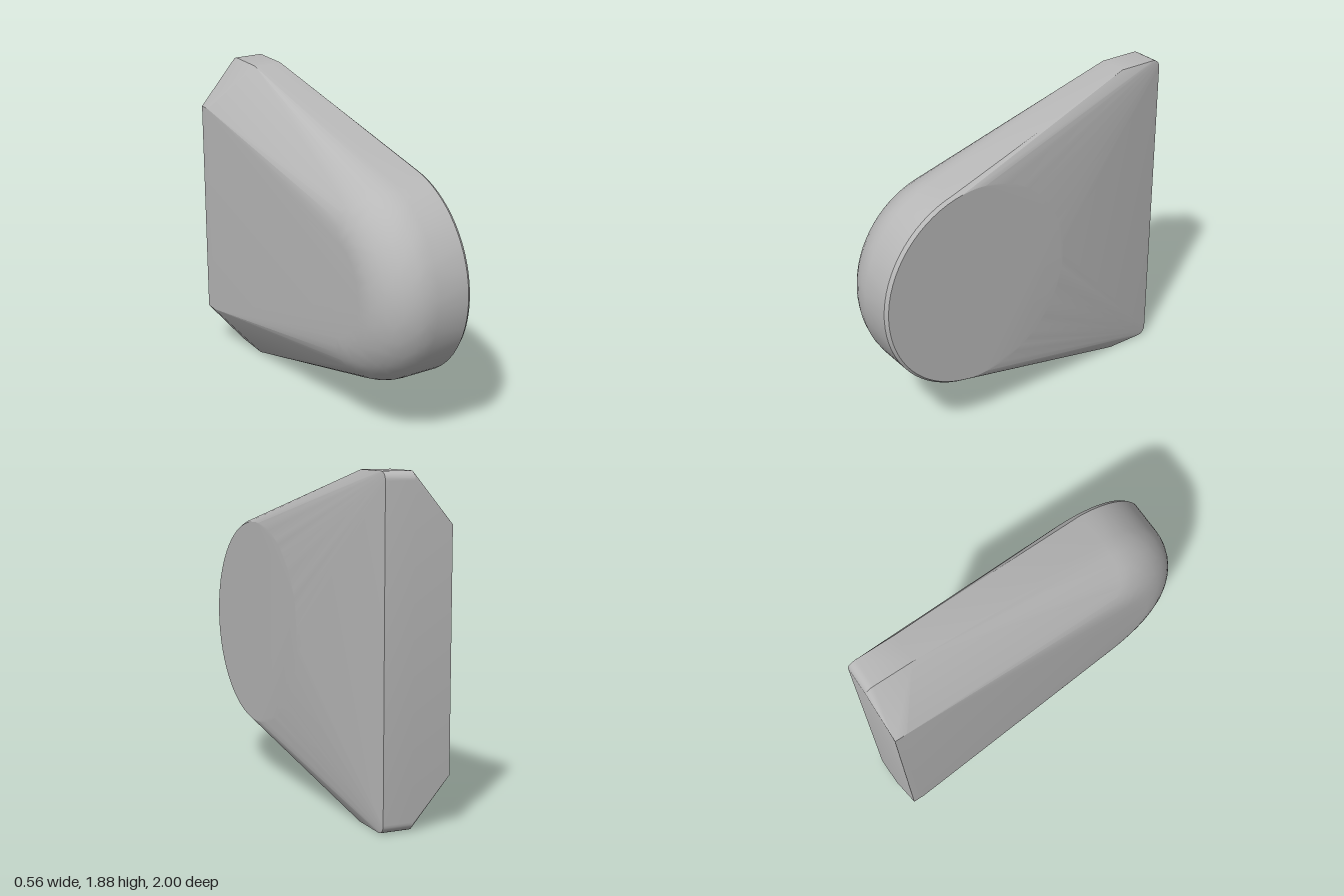
import * as THREE from 'three';
import { toCreasedNormals } from 'three/addons/utils/BufferGeometryUtils.js';
import { ConvexGeometry } from 'three/addons/geometries/ConvexGeometry.js';

const CY = 0.9375, CZ = 0.39, SHEAR = 0.024;

export function createModel() {
  const grey = new THREE.MeshStandardMaterial({ color: 0xb8b8b8 });
  grey.name = 'plain grey';
  const points = [];

  // Ring of the rounded nose, slightly sheared along z
  const ring = (x, r, n = 72) => {
    for (let i = 0; i < n; i++) {
      const a = (i / n) * Math.PI * 2;
      const z = CZ + r * Math.cos(a);
      points.push(new THREE.Vector3(x + SHEAR * z, CY + r * Math.sin(a), z));
    }
  };

  // Quarter-round bevel from the right face out to the full radius
  const bevel = 0.3, steps = 10;
  for (let i = 0; i <= steps; i++) {
    const a = (i / steps) * Math.PI / 2;
    ring(0.043 - bevel * Math.cos(a), 0.31 + bevel * Math.sin(a));
  }
  // Straight rim and small chamfer on the left face
  ring(0.237, 0.61);
  ring(0.257, 0.595);

  // Back end, mirrored top and bottom
  for (const s of [1, -1]) {
    const add = (x, h, z) => points.push(new THREE.Vector3(x, CY + s * h, z));
    for (const x of [-0.06, 0.11]) {
      add(x, 0.9375, -0.72);
      // Rounded back corner
      for (let i = 0; i <= 6; i++) {
        const a = (i / 6) * Math.PI / 2;
        add(x, 0.8875 + 0.05 * Math.cos(a), -0.95 - 0.05 * Math.sin(a));
      }
    }
    add(-0.282, 0.66, -0.92);
    add(-0.282, 0.66, -0.992);
  }

  const geometry = toCreasedNormals(new ConvexGeometry(points), 0.3);
  const body = new THREE.Mesh(geometry, grey);
  body.name = 'wedgeBody';
  const model = new THREE.Group();
  model.name = 'roundedWedge';
  model.add(body);
  return model;
}
